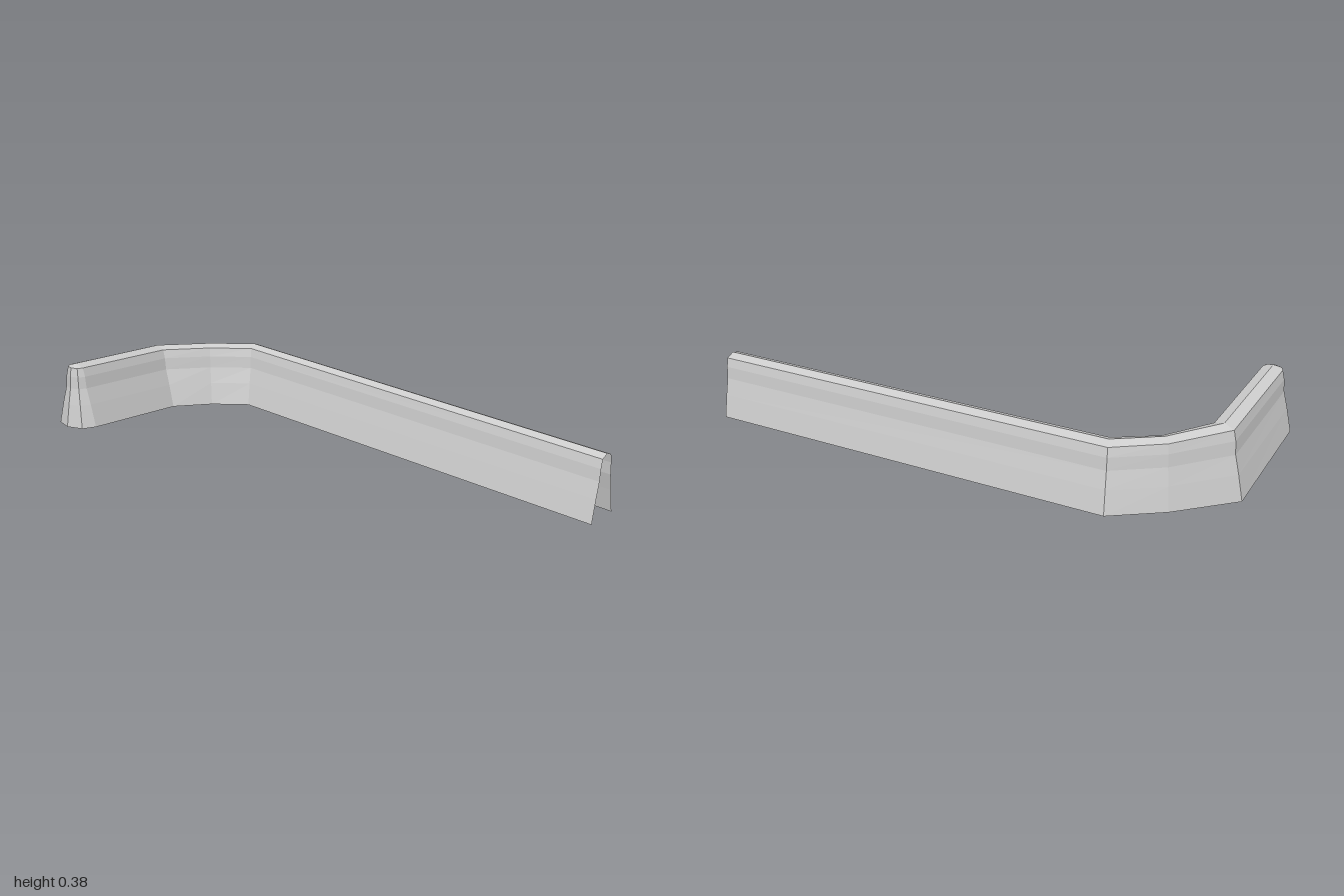
import * as THREE from 'three';

// Half cross-section: [fraction of half width, fraction of height], foot to ridge
const PROFILE = [[1, 0], [0.76, 0.36], [0.56, 0.62], [0.51, 0.81], [0.41, 0.95], [0, 1]];

// Stations along the ridge: centre x, z, outward half-width vector, ridge height, outer and inner foot heights
const STATIONS = [
  { x: 0.355, z: 1, dx: 0.078, dz: 0, top: 0.25, outer: 0, inner: 0.005 },
  { x: 0.352, z: -0.62, dx: 0.077, dz: -0.03, top: 0.34, outer: 0.095, inner: 0.095 },
  { x: 0.24, z: -0.77, dx: 0.05, dz: -0.05, top: 0.34, outer: 0.09, inner: 0.093 },
  { x: 0.07, z: -0.905, dx: 0.015, dz: -0.092, top: 0.347, outer: 0.078, inner: 0.1 },
  { x: -0.367, z: -0.91, dx: 0, dz: -0.09, top: 0.378, outer: 0.133, inner: 0.133 },
];

// One column of points from foot to ridge
function column(s, dx, dz, foot) {
  return PROFILE.map(([w, h]) => [s.x + dx * w, foot + (s.top - foot) * h, s.z + dz * w]);
}

// Skin joining neighbouring columns
function skin(columns) {
  const positions = [];
  const triangle = (a, b, c) => {
    const [p, q, r] = [a, b, c].map((v) => new THREE.Vector3(...v));
    if (q.sub(p).cross(r.sub(p)).length() > 1e-9) positions.push(...a, ...b, ...c);
  };
  for (let j = 0; j < columns.length - 1; j++) {
    for (let i = 0; i < PROFILE.length - 1; i++) {
      const a = columns[j][i], b = columns[j + 1][i];
      const c = columns[j + 1][i + 1], d = columns[j][i + 1];
      triangle(a, b, c);
      triangle(a, c, d);
    }
  }
  const geometry = new THREE.BufferGeometry();
  geometry.setAttribute('position', new THREE.Float32BufferAttribute(positions, 3));
  geometry.computeVertexNormals();
  return geometry;
}

export function createModel() {
  const group = new THREE.Group();
  group.name = 'curvedBarrier';
  const paleGrey = new THREE.MeshStandardMaterial({ color: 0xcccccc, flatShading: true, side: THREE.DoubleSide });
  paleGrey.name = 'paleGrey';
  const add = (name, columns) => {
    const mesh = new THREE.Mesh(skin(columns), paleGrey);
    mesh.name = name;
    group.add(mesh);
  };

  // The two flared sides, meeting at the ridge; foot and front end stay open
  add('outerSide', STATIONS.map((s) => column(s, s.dx, s.dz, s.outer)));
  add('innerSide', [...STATIONS].reverse().map((s) => column(s, -s.dx, -s.dz, s.inner)));

  // Rounded closed end
  const end = STATIONS[STATIONS.length - 1];
  const cap = [];
  for (let k = 0; k <= 4; k++) {
    const a = (k / 4) * Math.PI;
    cap.push(column(end, -0.068 * Math.sin(a), end.dz * Math.cos(a), end.outer));
  }
  add('roundedEnd', cap);
  return group;
}
